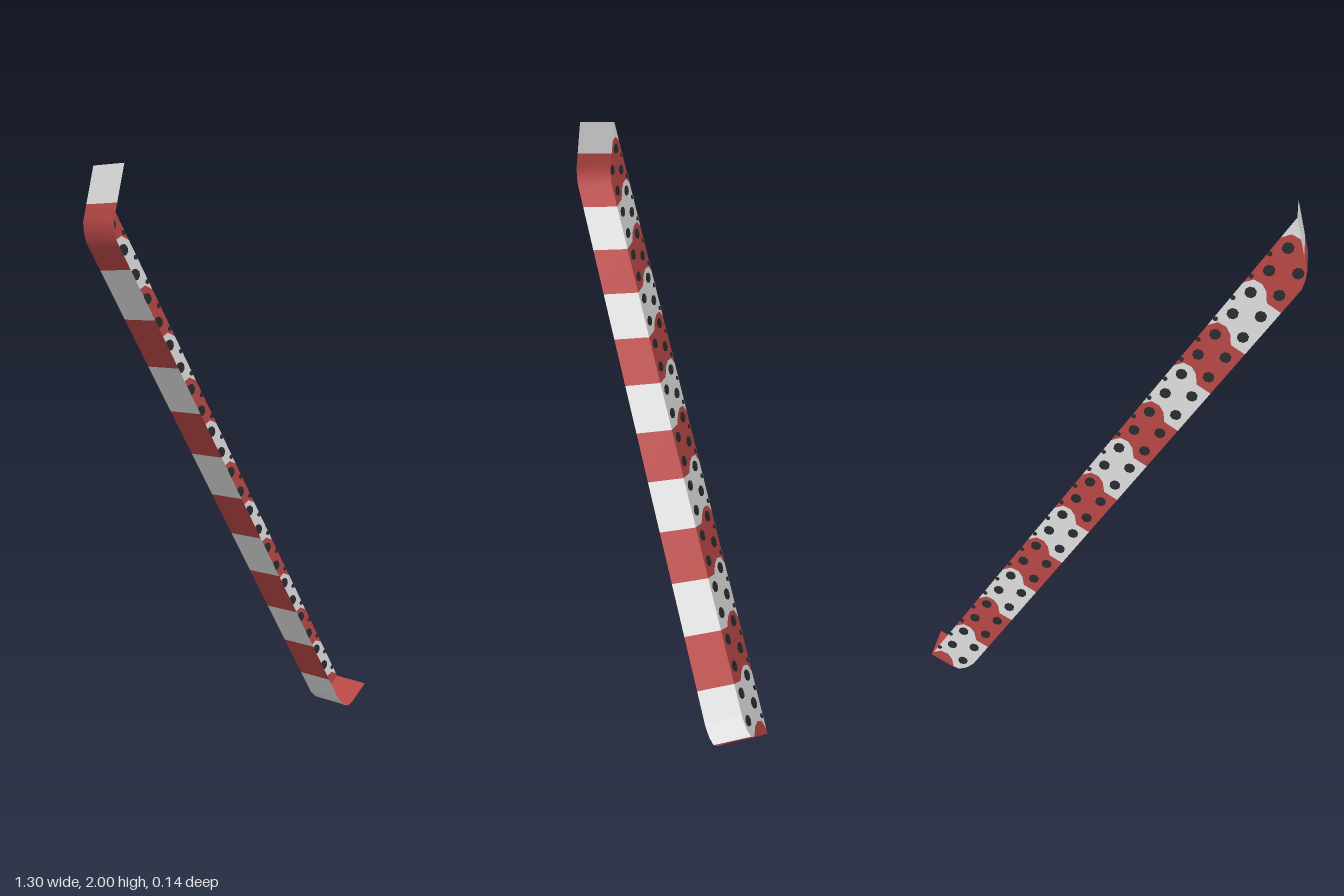
import * as THREE from 'three';
import { mergeGeometries } from 'three/addons/utils/BufferGeometryUtils.js';

const PERIOD = 0.1845, FIRST = -0.083, WIDTH = 0.155;
const BACK = -0.069, FRONT = 0.07, DOT_STEP = 0.0918;

// Piecewise linear lookup through [x, y] pairs
function lookup(points, x) {
  for (let i = 1; i < points.length; i++) {
    const [x0, y0] = points[i - 1], [x1, y1] = points[i];
    if (x <= x1) return y0 + (y1 - y0) * (x - x0) / (x1 - x0);
  }
  return points[points.length - 1][1];
}

// Both ends of the bar and the wavy stripe edge, as [across, along]
const topEnd = [[0, 0], [0.01, -0.03], [0.024, -0.056], [WIDTH, -0.174]];
const bottomEnd = [[0, 2.062], [0.01, 2.1], [0.03, 2.128], [0.06, 2.135], [WIDTH, 2.135]];
const wave = [[0, 0], [0.055, 0], [0.08, -0.03], [0.105, -0.043], [0.135, -0.04], [WIDTH, -0.012]];

// Ribbon of quads between two equally long rows of points
function ribbon(rowA, rowB) {
  const positions = [], index = [];
  rowA.forEach((a, i) => {
    positions.push(...a, ...rowB[i]);
    if (i > 0) {
      const k = 2 * i;
      index.push(k - 2, k - 1, k, k, k - 1, k + 1);
    }
  });
  const g = new THREE.BufferGeometry();
  g.setAttribute('position', new THREE.Float32BufferAttribute(positions, 3));
  g.setIndex(index);
  g.computeVertexNormals();
  return g;
}

export function createModel() {
  const white = new THREE.MeshStandardMaterial({ color: 0xdedede, side: THREE.DoubleSide });
  white.name = 'white';
  const red = new THREE.MeshStandardMaterial({ color: 0xb74846, side: THREE.DoubleSide });
  red.name = 'red';
  const black = new THREE.MeshStandardMaterial({ color: 0x2a2c2e });
  black.name = 'black';

  const model = new THREE.Group();
  model.name = 'stripedBar';
  // Local x runs down the bar, local y across it
  const bar = new THREE.Group();
  bar.name = 'leaningBar';
  bar.position.set(-0.64, 1.77, 0);
  bar.rotation.z = -Math.atan2(0.838, 0.545);
  model.add(bar);

  const add = (geometry, material, name) => {
    const mesh = new THREE.Mesh(geometry, material);
    mesh.name = name;
    bar.add(mesh);
  };

  // Back plate, one wavy band per stripe
  for (let k = -1; k < 13; k++) {
    const start = k < 0 ? -1 : FIRST + k * PERIOD;
    const end = FIRST + (k + 1) * PERIOD;
    const rowA = [], rowB = [];
    for (let i = 0; i <= 31; i++) {
      const v = WIDTH * i / 31, w = lookup(wave, v);
      const lo = lookup(topEnd, v), hi = lookup(bottomEnd, v);
      const u0 = Math.min(Math.max(start + w, lo), hi);
      const u1 = k === 12 ? hi : Math.min(Math.max(end + w, lo), hi);
      if (u1 - u0 < 1e-5) continue;
      rowA.push([u0, v, BACK]);
      rowB.push([u1, v, BACK]);
    }
    if (rowA.length > 1) add(ribbon(rowB, rowA), k % 2 === 0 ? red : white, 'plateStripe');
  }

  // Side wall, following the lower edge and turning up at both ends
  const wall = (path, material, name) => add(ribbon(
    path.map(([u, v]) => [u, v, FRONT]),
    path.map(([u, v]) => [u, v, BACK])), material, name);
  const splitV = 0.065, splitU = lookup(topEnd, splitV);
  wall([[-0.174, WIDTH], [splitU, splitV]], white, 'topEndWall');
  wall([[splitU, splitV], [-0.056, 0.024], [-0.03, 0.01], [0, 0], [0.02, 0], [FIRST + PERIOD, 0]],
    red, 'topCornerWall');
  for (let k = 1; k < 11; k++) {
    const u = FIRST + k * PERIOD;
    wall([[u, 0], [u + PERIOD, 0]], k % 2 ? white : red, 'wallStripe');
  }
  wall([[FIRST + 11 * PERIOD, 0], [2.04, 0], [2.062, 0], [2.1, 0.01], [2.128, 0.03]],
    white, 'bottomCornerWall');
  wall([[2.128, 0.03], [2.135, 0.06], [2.135, WIDTH]], red, 'bottomEndWall');

  // Two staggered rows of spots through the plate, plus small ones at its edge
  const dots = [];
  const dot = (u, v, r) => dots.push(
    new THREE.CylinderGeometry(r, r, 0.006, 8).rotateX(Math.PI / 2).translate(u, v, BACK));
  for (let k = 0; k < 24; k++) {
    dot(-0.035 + k * DOT_STEP, 0.042, 0.019);
    dot(-0.082 + k * DOT_STEP, 0.117, 0.019);
    dot(-0.035 + k * DOT_STEP, 0.149, 0.008);
  }
  add(mergeGeometries(dots), black, 'spots');

  return model;
}
